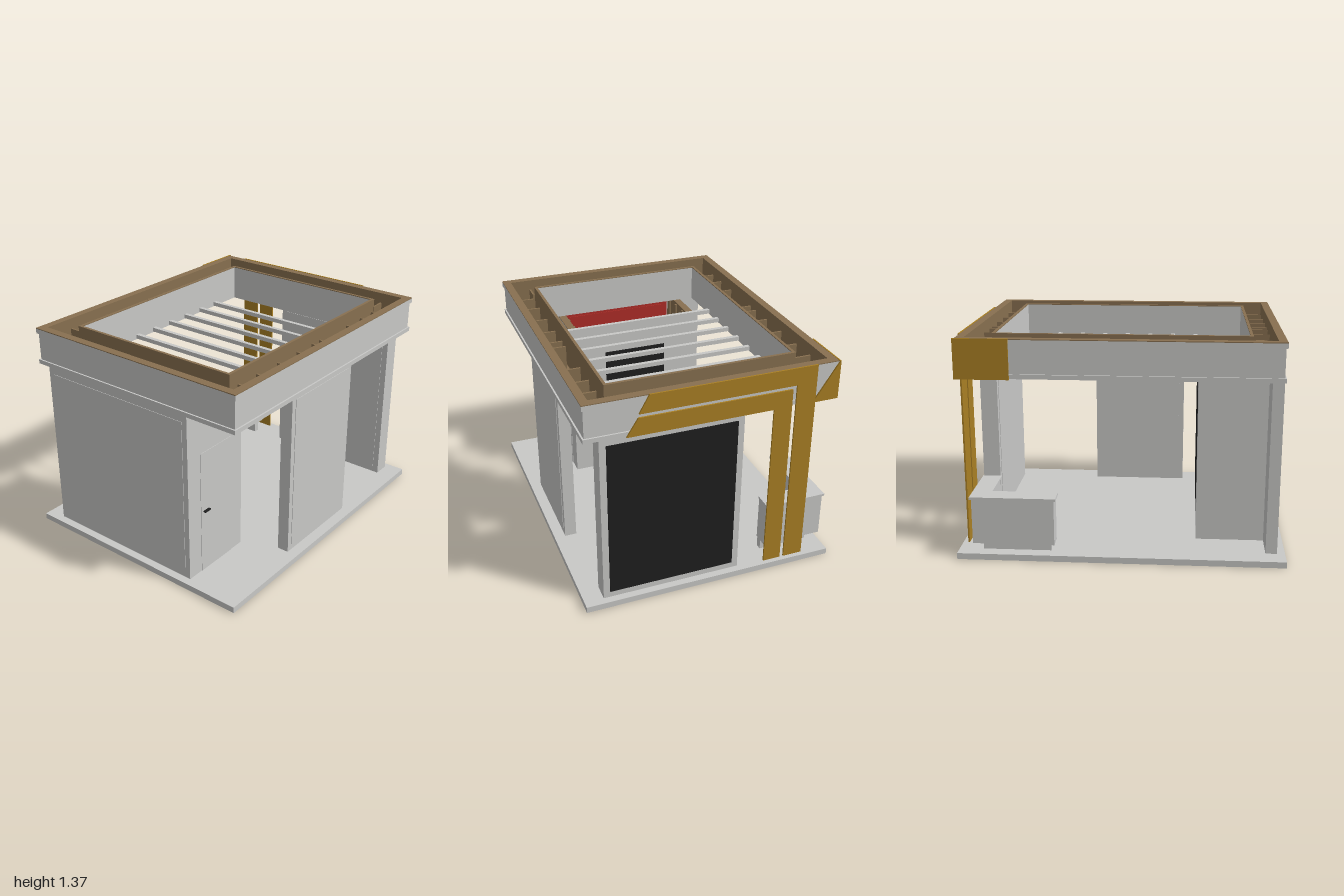
import * as THREE from 'three';

const mat = (name, hex) => {
  const m = new THREE.MeshStandardMaterial({ color: hex });
  m.name = name;
  return m;
};

export function createModel() {
  const grey = mat('light grey', 0xc9c9c7);
  const wood = mat('wood brown', 0x887050);
  const gold = mat('gold', 0xaa8024);
  const black = mat('black', 0x1f1f1f);
  const red = mat('red', 0xb02d28);
  const root = new THREE.Group();
  root.name = 'booth';

  const group = (name) => {
    const g = new THREE.Group();
    g.name = name;
    root.add(g);
    return g;
  };
  // Box given by its limits on each axis
  const box = (parent, name, m, x0, x1, y0, y1, z0, z1) => {
    const mesh = new THREE.Mesh(new THREE.BoxGeometry(x1 - x0, y1 - y0, z1 - z0), m);
    mesh.position.set((x0 + x1) / 2, (y0 + y1) / 2, (z0 + z1) / 2);
    mesh.name = name;
    parent.add(mesh);
    return mesh;
  };
  // Four boxes around a rectangle, t thick inward
  const ring = (parent, name, m, x0, x1, y0, y1, z0, z1, t) => {
    box(parent, name, m, x0, x1, y0, y1, z0, z0 + t);
    box(parent, name, m, x0, x1, y0, y1, z1 - t, z1);
    box(parent, name, m, x0, x0 + t, y0, y1, z0 + t, z1 - t);
    box(parent, name, m, x1 - t, x1, y0, y1, z0 + t, z1 - t);
  };
  // Flat outline in x and y, extruded along z
  const plate = (parent, name, m, points, z, depth) => {
    const shape = new THREE.Shape(points.map((p) => new THREE.Vector2(p[0], p[1])));
    const mesh = new THREE.Mesh(
      new THREE.ExtrudeGeometry(shape, { depth, bevelEnabled: false }), m);
    mesh.position.z = z;
    mesh.name = name;
    parent.add(mesh);
  };

  const floorY = 0.04, wallTop = 1.13, roofTop = 1.365;

  // Platform: deck, edge and a wooden lattice underneath
  const base = group('platform');
  box(base, 'deck', grey, -0.8, 0.8, 0.028, floorY, -1, 1);
  ring(base, 'deckEdge', grey, -0.8, 0.8, 0.001, 0.028, -1, 1, 0.008);
  box(base, 'deckUnderside', wood, -0.79, 0.79, 0.022, 0.028, -0.99, 0.99);
  ring(base, 'bottomRail', wood, -0.79, 0.79, 0, 0.022, -0.99, 0.99, 0.02);
  for (let i = 1; i < 7; i++) {
    const x = -0.79 + (1.58 * i) / 7;
    box(base, 'longRib', wood, x - 0.009, x + 0.009, 0, 0.022, -0.97, 0.97);
  }
  for (let i = 1; i < 10; i++) {
    const z = -0.99 + (1.98 * i) / 10;
    box(base, 'crossRib', wood, -0.77, 0.77, 0.001, 0.022, z - 0.009, z + 0.009);
  }
  box(base, 'counterFooting', grey, -0.735, -0.705, 0.0005, 0.022, -0.95, -0.42);

  // Front wall
  const front = group('frontWall');
  box(front, 'wall', grey, -0.68, 0.43, floorY, wallTop, 0.88, 0.95);
  box(front, 'frontPanel', grey, -0.64, 0.395, 0.08, 1.09, 0.95, 0.953);
  box(front, 'redBacking', red, -0.425, 0.375, 0.08, 1.115, 0.875, 0.88);
  ring(front, 'redFrame', red, -0.38, 0.33, 1.04, 1.06, 0.868, 0.876, 0.003);

  // Storage room, open at the top
  const room = group('storageRoom');
  box(room, 'backWall', grey, -0.48, 0.43, floorY, 1.125, 0.455, 0.5);
  box(room, 'leftWall', grey, 0.385, 0.43, floorY, 1.125, 0.5, 0.88);
  box(room, 'rightWall', grey, -0.48, -0.435, floorY, 1.125, 0.5, 0.88);
  box(room, 'backWallTop', wood, -0.48, 0.43, 1.125, wallTop, 0.455, 0.505);
  for (const [x0, x1, face] of [[0.38, 0.43, 0.38], [-0.48, -0.43, -0.435]]) {
    box(room, 'sideWallTop', wood, x0, x1, 1.125, wallTop, 0.505, 0.88);
    box(room, 'sideLining', wood, face, face + 0.005, floorY, 1.125, 0.505, 0.875);
    for (const z of [0.56, 0.68, 0.8]) {
      const dir = face > 0 ? -0.012 : 0.005;
      box(room, 'stud', wood, face + dir, face + dir + 0.012, floorY, 1.12, z, z + 0.02);
    }
  }
  box(room, 'backLining', wood, -0.43, 0.38, floorY, 1.125, 0.5, 0.505);
  box(room, 'screen', black, -0.24, 0.19, 0.22, 0.945, 0.449, 0.455);
  box(room, 'door', grey, 0.43, 0.433, floorY, 0.85, 0.56, 0.84);
  box(room, 'doorHandle', black, 0.433, 0.45, 0.452, 0.459, 0.77, 0.82);

  // Free-standing side wall with a thin panel on both faces
  const side = group('sideWall');
  box(side, 'wall', grey, 0.655, 0.73, floorY, wallTop, -0.285, 0.36);
  box(side, 'outerPanel', grey, 0.73, 0.733, 0.08, 1.09, -0.25, 0.325);
  box(side, 'innerPanel', grey, 0.652, 0.655, 0.08, 1.09, -0.25, 0.325);

  // Back wall with a dark display outside
  const back = group('backWall');
  box(back, 'wall', grey, -0.19, 0.68, floorY, wallTop, -0.955, -0.845);
  box(back, 'innerPanel', grey, -0.15, 0.64, 0.08, 1.09, -0.845, -0.842);
  box(back, 'display', black, -0.15, 0.64, 0.08, 1.09, -0.96, -0.955);

  // Roof ring: fascia with lips, soffit, wooden channel with ribs
  const roof = group('roof');
  const zb = -0.96, zf = 0.95;
  ring(roof, 'fascia', grey, -0.76, 0.76, wallTop, 1.355, zb + 0.01, zf - 0.01, 0.012);
  ring(roof, 'upperLip', grey, -0.77, 0.77, 1.33, 1.36, zb, zf, 0.012);
  ring(roof, 'lowerLip', grey, -0.77, 0.77, wallTop, 1.157, zb, zf, 0.012);
  ring(roof, 'rim', wood, -0.77, 0.77, 1.36, roofTop, zb, zf, 0.05);
  ring(roof, 'outerLining', wood, -0.748, 0.748, 1.138, 1.36, zb + 0.022, zf - 0.022, 0.028);
  ring(roof, 'soffit', grey, -0.76, 0.76, wallTop, 1.134, zb + 0.01, zf - 0.01, 0.19);
  ring(roof, 'channelFloor', wood, -0.748, 0.748, 1.134, 1.139, zb + 0.022, zf - 0.022, 0.165);
  ring(roof, 'innerFace', grey, -0.576, 0.576, wallTop, 1.36, -0.766, 0.756, 0.006);
  ring(roof, 'innerLining', wood, -0.588, 0.588, 1.134, roofTop, -0.778, 0.768, 0.012);
  ring(roof, 'innerCap', wood, -0.576, 0.576, 1.36, roofTop, -0.766, 0.756, 0.006);
  for (const s of [-1, 1]) {
    for (const z of [-0.72, -0.55, -0.35, -0.15, 0.01, 0.09, 0.4, 0.57, 0.71]) {
      const zz = s < 0 ? z : -z;
      box(roof, 'rib', wood, s * 0.665 - 0.055, s * 0.665 + 0.055, 1.139, 1.3, zz - 0.006, zz + 0.006);
    }
    for (const x of [-0.59, -0.4, -0.22, -0.07, 0.01, 0.17, 0.37, 0.57]) {
      const xx = s < 0 ? x : -x;
      const zc = s < 0 ? -0.855 : 0.845;
      box(roof, 'rib', wood, xx - 0.006, xx + 0.006, 1.139, 1.3, zc - 0.05, zc + 0.05);
    }
  }
  // Slats across the roof opening
  for (let i = 0; i < 7; i++) {
    const z = -0.53 + i * 0.161;
    box(roof, 'slat', grey, -0.57, 0.57, 1.135, 1.162, z - 0.014, z + 0.014);
  }

  // Gold bands: two bent arms on the back and a wrap around the corner
  const bands = group('goldBands');
  plate(bands, 'innerBand', gold, [[-0.48, floorY], [-0.366, floorY], [-0.366, 1.125],
    [0.525, 1.125], [0.455, 1.235], [-0.48, 1.235]], -0.97, 0.01);
  plate(bands, 'outerBand', gold, [[-0.63, floorY], [-0.505, floorY], [-0.505, 1.257],
    [0.452, 1.257], [0.39, 1.367], [-0.63, 1.367]], -0.97, 0.01);
  plate(bands, 'cornerTriangle', gold, [[-0.776, 1.125], [-0.615, 1.125], [-0.776, 1.367]],
    -0.97, 0.01);
  box(bands, 'cornerSide', gold, -0.778, -0.77, 1.125, 1.367, -0.97, -0.645);

  // L-shaped counter on a recessed plinth
  const counter = group('counter');
  const endX = -0.4;
  box(counter, 'sideBody', grey, -0.79, -0.69, 0.105, 0.39, -0.9, -0.4);
  box(counter, 'backBody', grey, -0.69, endX, 0.105, 0.39, -0.9, -0.8);
  box(counter, 'sidePlinth', grey, -0.72, -0.69, floorY, 0.105, -0.85, -0.43);
  box(counter, 'backPlinth', grey, -0.69, endX, floorY, 0.105, -0.85, -0.81);
  box(counter, 'sideTop', grey, -0.8, -0.68, 0.39, 0.405, -0.91, -0.388);
  box(counter, 'backTop', grey, -0.68, endX, 0.39, 0.405, -0.91, -0.79);
  for (const [z0, z1] of [[-0.797, -0.603], [-0.597, -0.403]]) {
    box(counter, 'drawer', grey, -0.69, -0.685, 0.303, 0.387, z0, z1);
  }
  return root;
}
